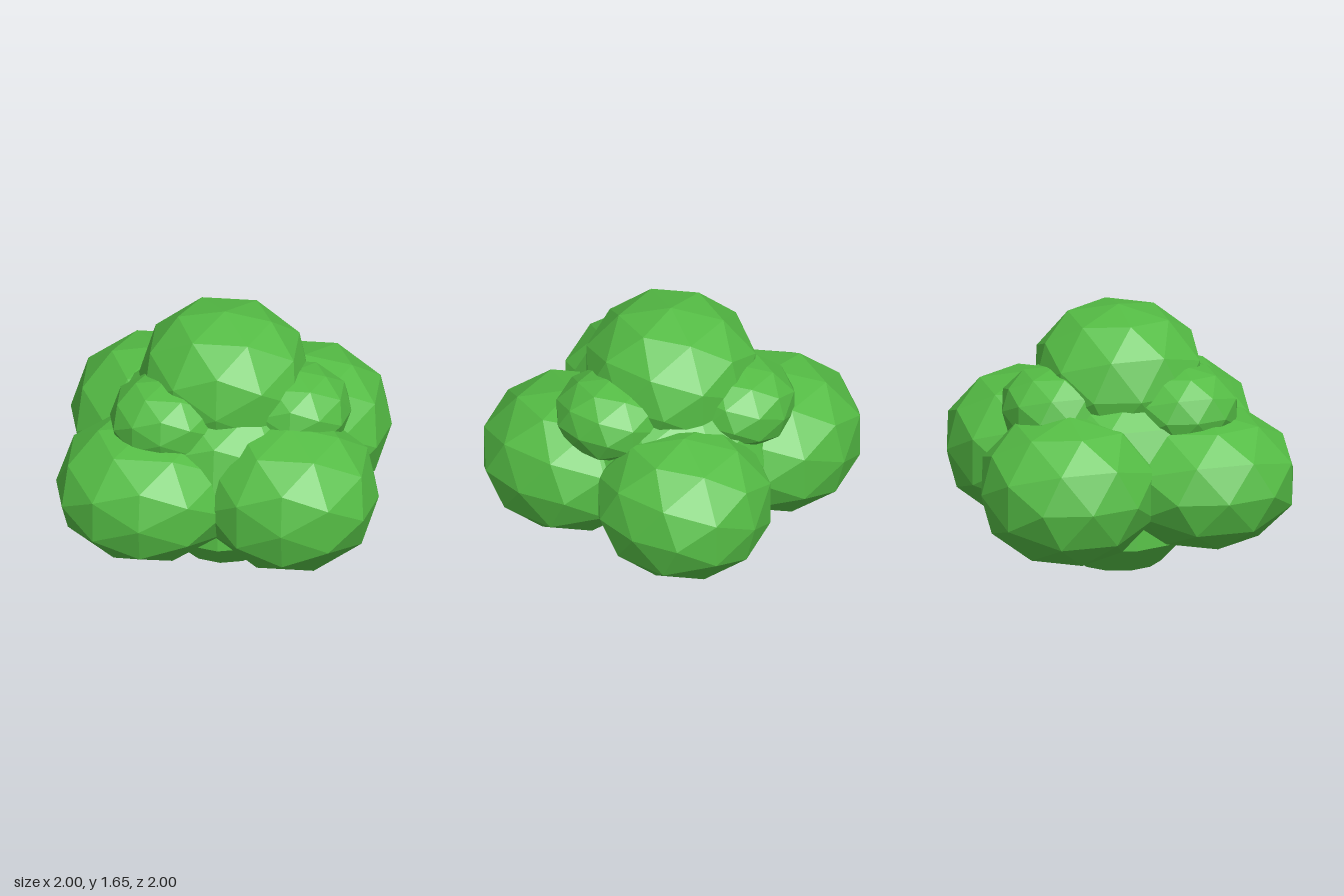
import * as THREE from 'three';

const leafGreen = new THREE.MeshStandardMaterial({ color: 0x55bd45, flatShading: true });
leafGreen.name = 'leaf green';

// Faceted leaf clump: a squashed icosphere, slightly flattened at its axis points
function clump(name, [x, y, z], rx, ry, rz = rx) {
  const geo = new THREE.IcosahedronGeometry(1, 1);
  const pos = geo.attributes.position;
  const v = new THREE.Vector3();
  for (let i = 0; i < pos.count; i++) {
    v.fromBufferAttribute(pos, i);
    if (Math.max(Math.abs(v.x), Math.abs(v.y), Math.abs(v.z)) > 0.99) v.multiplyScalar(0.965);
    pos.setXYZ(i, v.x * rx, v.y * ry, v.z * rz);
  }
  geo.computeVertexNormals();
  const mesh = new THREE.Mesh(geo, leafGreen);
  mesh.name = name;
  mesh.position.set(x, y, z);
  return mesh;
}

export function createModel() {
  const bush = new THREE.Group();
  bush.name = 'bush';

  // Flared foot that the foliage grows from
  const profile = [[0, 0], [0.275, 0], [0.435, 0.18], [0.42, 0.33], [0, 0.4]];
  const foot = new THREE.Mesh(
    new THREE.LatheGeometry(profile.map(([r, y]) => new THREE.Vector2(r, y)), 12, Math.PI / 2),
    leafGreen
  );
  foot.name = 'foot';
  bush.add(foot);

  bush.add(
    // Core and crown
    clump('core', [0, 0.75, 0], 0.75, 0.54),
    clump('crown', [0, 1.18, 0], 0.55, 0.487),
    // Four large lower clumps
    clump('frontLeftClump', [0.45, 0.64, 0.43], 0.57, 0.48),
    clump('frontRightClump', [-0.43, 0.63, 0.43], 0.59, 0.44),
    clump('backLeftClump', [0.45, 0.64, -0.43], 0.56, 0.48),
    clump('backRightClump', [-0.44, 0.64, -0.44], 0.58, 0.48),
    // Three small clumps around the crown
    clump('smallFrontClump', [-0.33, 1.06, 0.32], 0.36, 0.275),
    clump('smallSideClump', [0.45, 1.06, 0.12], 0.36, 0.275),
    clump('smallBackClump', [-0.12, 1.06, -0.43], 0.36, 0.275)
  );
  return bush;
}
